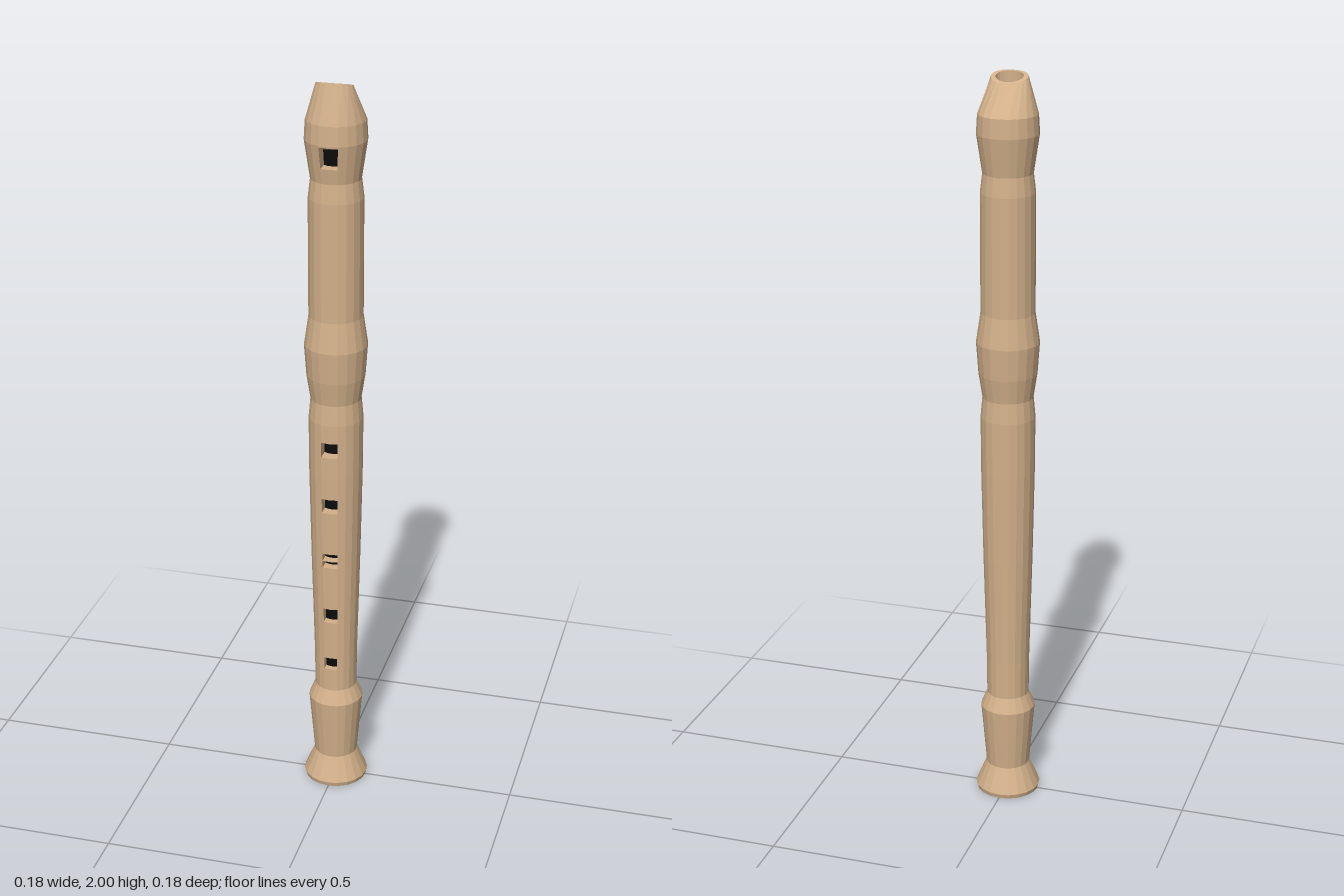
import * as THREE from 'three';

const SIDES = 20;
const wood = new THREE.MeshStandardMaterial({ color: 0xd2b08a, flatShading: true });
wood.name = 'tan wood';
const dark = new THREE.MeshStandardMaterial({ color: 0x0c0c0c });
dark.name = 'dark bore';

// outer profile of the turned tube: [y, radius]
const profile = [
  [0, 0.085], [0.012, 0.088], [0.08, 0.059], [0.255, 0.074], [0.295, 0.057], [0.4, 0.058],
  [0.7, 0.066], [0.95, 0.071], [1.1, 0.072], [1.155, 0.067], [1.22, 0.077], [1.305, 0.083],
  [1.385, 0.071], [1.7, 0.071], [1.75, 0.065], [1.85, 0.08], [1.9, 0.077],
];
// openings on the front: [bottom, top, inner top]
const holes = [
  [0.362, 0.397, 0.397], [0.51, 0.552, 0.542], [0.68, 0.722, 0.714],
  [0.845, 0.886, 0.886], [1.008, 1.05, 1.05], [1.79, 1.846, 1.828],
];

function radiusAt(y) {
  const k = profile.findIndex((p) => p[0] >= y);
  const [y0, r0] = profile[k - 1], [y1, r1] = profile[k];
  return r0 + (r1 - r0) * (y - y0) / (y1 - y0);
}

// ring of points, starting at the front and turning towards +x
function ring(y, rx, rz = rx, cz = 0) {
  return Array.from({ length: SIDES }, (_, i) => {
    const a = i * Math.PI * 2 / SIDES;
    const z = cz + Math.cos(a) * rz;
    return new THREE.Vector3(Math.sin(a) * rx, typeof y === 'function' ? y(z) : y, z);
  });
}

function meshFromQuads(quads, material, name) {
  const pos = [];
  for (const [a, b, c, d] of quads) for (const p of [a, b, c, a, c, d]) pos.push(p.x, p.y, p.z);
  const geo = new THREE.BufferGeometry();
  geo.setAttribute('position', new THREE.Float32BufferAttribute(pos, 3));
  geo.computeVertexNormals();
  const mesh = new THREE.Mesh(geo, material);
  mesh.name = name;
  return mesh;
}

// slanted, slightly curved cut of the mouthpiece
const mouthCut = (z) => 2 - 0.024 * Math.pow(Math.max(0, (0.046 - z) / 0.064), 1.4);

export function createModel() {
  const group = new THREE.Group();
  group.name = 'recorder';

  // rows of the tube, with an extra row at each edge of an opening
  const levels = profile.slice();
  for (const [lo, hi] of holes) levels.push([lo, radiusAt(lo)], [hi, radiusAt(hi)]);
  levels.sort((a, b) => a[0] - b[0]);
  const rows = [
    ring(0.025, 0.06), ring(0, 0.067),
    ...levels.map(([y, r]) => ring(y, r)),
    ring(mouthCut, 0.048, 0.032, 0.014),
    ring(mouthCut, 0.036, 0.025, 0.014),
    ring(1.96, 0.036, 0.025, 0.014),
  ];

  // body skin, left open at the finger holes and the window
  const skin = [], walls = [];
  for (let j = 0; j < rows.length - 1; j++) {
    const mid = (rows[j][0].y + rows[j + 1][0].y) / 2;
    const hole = j > 1 && holes.find(([lo, hi]) => mid > lo && mid < hi);
    for (let i = 0; i < SIDES; i++) {
      if (hole && (i === 0 || i === SIDES - 1)) continue;
      const n = (i + 1) % SIDES;
      skin.push([rows[j][i], rows[j][n], rows[j + 1][n], rows[j + 1][i]]);
    }
    if (!hole) continue;
    // walls leading from the opening in to the bore
    const [lo, hi, innerTop] = hole;
    const cols = [SIDES - 1, 0, 1];
    const loop = [...cols.map((i) => rows[j][i]), ...cols.reverse().map((i) => rows[j + 1][i])];
    const inner = loop.map((p) => {
      const y = p.y >= hi - 1e-6 ? innerTop : p.y;
      return new THREE.Vector3(p.x, y, 0.028);
    });
    loop.forEach((p, k) => {
      const n = (k + 1) % loop.length;
      walls.push([p, loop[n], inner[n], inner[k]]);
    });
  }
  group.add(meshFromQuads(skin, wood, 'body'));
  group.add(meshFromQuads(walls, wood, 'holeWalls'));

  // dark core seen through the openings
  const core = new THREE.Mesh(new THREE.CylinderGeometry(0.04, 0.04, 1.82, SIDES), dark);
  core.name = 'bore';
  core.position.y = 0.94;
  group.add(core);

  // dark ends of the bore
  const foot = new THREE.Mesh(new THREE.CircleGeometry(0.06, SIDES), dark);
  foot.name = 'footOpening';
  foot.rotation.x = Math.PI / 2;
  foot.position.y = 0.025;
  const mouth = new THREE.Mesh(new THREE.CircleGeometry(1, SIDES), dark);
  mouth.name = 'mouthOpening';
  mouth.scale.set(0.036, 0.025, 1);
  mouth.rotation.x = -Math.PI / 2;
  mouth.position.set(0, 1.962, 0.014);
  group.add(foot, mouth);
  return group;
}
